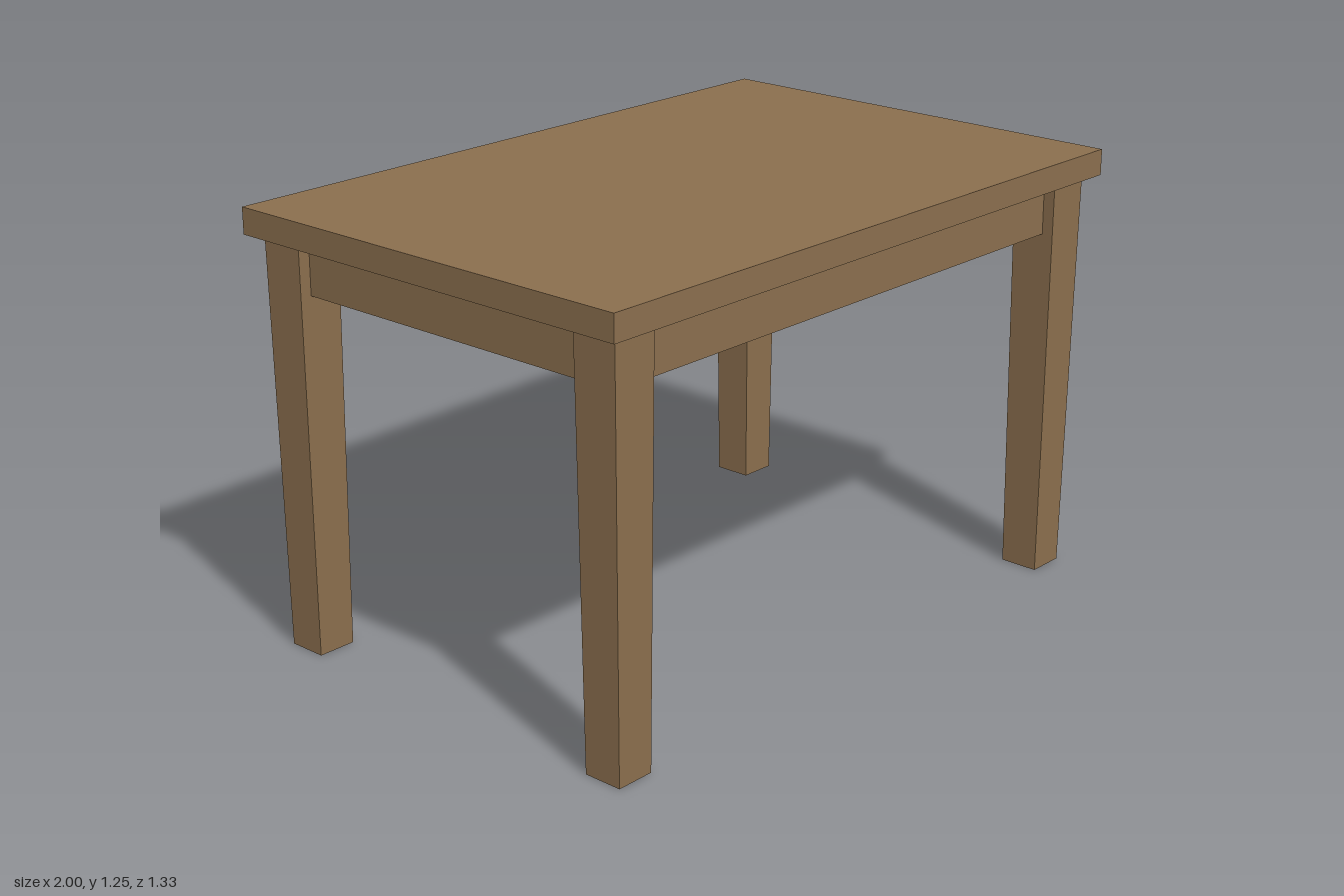
import * as THREE from 'three';

export function createModel() {
  const table = new THREE.Group();
  table.name = 'table';

  const wood = new THREE.MeshStandardMaterial({ color: 0x8b6f4e });
  wood.name = 'brown wood';

  const TOP = 1.255, UNDERSIDE = 1.18, APRON_BOTTOM = 1.03;
  const LEG_X = 0.8925, LEG_Z = 0.5625, LEG_TOP = 0.135, LEG_FOOT = 0.115;
  const APRON_X = 0.915, APRON_Z = 0.585, APRON_THICK = 0.02;

  function add(name, geometry, x, y, z) {
    const mesh = new THREE.Mesh(geometry, wood);
    mesh.name = name;
    mesh.position.set(x, y, z);
    table.add(mesh);
  }

  // Overhanging slab
  add('tabletop', new THREE.BoxGeometry(2, TOP - UNDERSIDE, 1.332), 0, (TOP + UNDERSIDE) / 2, 0);

  // Square leg narrowing evenly towards the foot
  const leg = new THREE.BoxGeometry(LEG_TOP, UNDERSIDE, LEG_TOP);
  const p = leg.attributes.position;
  for (let i = 0; i < p.count; i++) {
    if (p.getY(i) < 0) {
      p.setX(i, p.getX(i) * LEG_FOOT / LEG_TOP);
      p.setZ(i, p.getZ(i) * LEG_FOOT / LEG_TOP);
    }
  }
  leg.computeVertexNormals();

  for (const [end, sz] of [['front', 1], ['back', -1]]) {
    for (const [side, sx] of [['Left', 1], ['Right', -1]]) {
      add(`${end}${side}Leg`, leg, sx * LEG_X, UNDERSIDE / 2, sz * LEG_Z);
    }
  }

  // Thin apron boards set back from the outer leg faces, tenoned into the legs
  const height = UNDERSIDE - APRON_BOTTOM;
  const y = (UNDERSIDE + APRON_BOTTOM) / 2;
  const longBoard = new THREE.BoxGeometry(1.68, height, APRON_THICK);
  const shortBoard = new THREE.BoxGeometry(APRON_THICK, height, 1.02);
  add('frontApron', longBoard, 0, y, APRON_Z);
  add('backApron', longBoard, 0, y, -APRON_Z);
  add('leftApron', shortBoard, APRON_X, y, 0);
  add('rightApron', shortBoard, -APRON_X, y, 0);

  return table;
}
